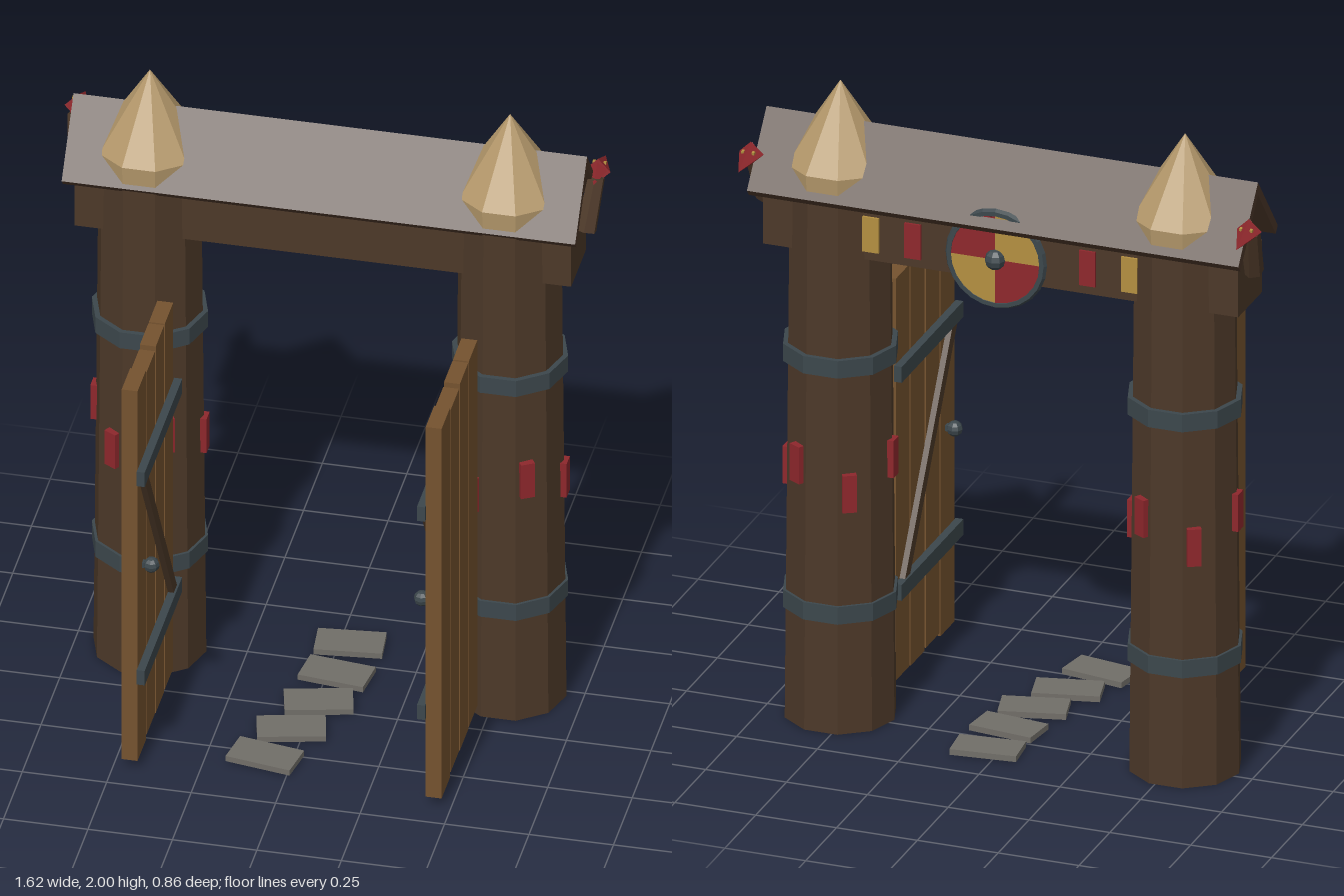
import * as THREE from 'three';

const mat = (name, color) => {
  const m = new THREE.MeshStandardMaterial({ color, flatShading: true });
  m.name = name;
  return m;
};

export function createModel() {
  const root = new THREE.Group();
  root.name = 'gate';
  const darkWood = mat('dark wood', 0x4c3828);
  const roofWood = mat('roof wood', 0x4a3527);
  const plankWood = mat('plank wood', 0x75532f);
  const paleWood = mat('pale cut wood', 0xb3976a);
  const iron = mat('iron', 0x3c474c);
  const red = mat('red paint', 0x8e272c);
  const gold = mat('gold paint', 0xb48f40);
  const stone = mat('stone', 0x716e68);

  const add = (parent, name, geo, material, x = 0, y = 0, z = 0) => {
    const m = new THREE.Mesh(geo, material);
    m.name = name;
    m.position.set(x, y, z);
    parent.add(m);
    return m;
  };
  const box = (w, h, d) => new THREE.BoxGeometry(w, h, d);
  const postZ = -0.226;

  // Posts with pointed tops, iron bands and painted plates
  for (const side of [-1, 1]) {
    const post = new THREE.Group();
    post.name = side > 0 ? 'leftPost' : 'rightPost';
    post.position.set(side * 0.533, 0, postZ);
    root.add(post);
    const ring = (top, bottom, h) => new THREE.CylinderGeometry(top, bottom, h, 10).rotateY(Math.PI / 2);
    add(post, 'trunk', ring(0.152, 0.167, 1.68), darkWood, 0, 0.84);
    add(post, 'tipCollar', ring(0.16, 0.153, 0.08), paleWood, 0, 1.71);
    add(post, 'pointedTip', ring(0, 0.16, 0.25), paleWood, 0, 1.875);
    for (const y of [0.378, 1.157]) add(post, 'ironBand', ring(0.172, 0.172, 0.055), iron, 0, y);
    for (let i = 0; i < 6; i++) {
      const a = i * Math.PI / 3;
      const plate = add(post, 'paintedPlate', box(0.024, 0.117, 0.042), red,
        Math.cos(a) * 0.16, i % 2 ? 0.832 : 0.762, Math.sin(a) * 0.16);
      plate.rotation.y = -a;
    }
  }

  // Cross beam with painted plates on its back
  add(root, 'crossBeam', box(1.47, 0.165, 0.195), darkWood, 0, 1.573, -0.228);
  for (const s of [-1, 1]) {
    add(root, 'goldPlate', box(0.05, 0.11, 0.008), gold, s * 0.4, 1.573, -0.329);
    add(root, 'redPlate', box(0.05, 0.11, 0.008), red, s * 0.27, 1.573, -0.329);
  }

  // Gabled roof along the beam
  const gable = new THREE.Shape([
    [0, 1.882], [-0.16, 1.68], [-0.143, 1.66], [0, 1.842], [0.143, 1.66], [0.16, 1.68],
  ].map(([x, y]) => new THREE.Vector2(x, y)));
  const roof = new THREE.ExtrudeGeometry(gable, { depth: 1.52, bevelEnabled: false });
  roof.translate(0, 0, -0.76).rotateY(Math.PI / 2);
  add(root, 'roof', roof, roofWood, 0, 0, -0.23);

  // Carved beast heads on the roof ends
  for (const s of [-1, 1]) {
    const from = new THREE.Vector3(s * 0.752, 1.61, -0.25);
    const to = new THREE.Vector3(s * 0.77, 1.76, -0.31);
    const dir = to.clone().sub(from);
    const neck = add(root, 'neck', new THREE.CylinderGeometry(0.026, 0.032, dir.length(), 6), darkWood);
    neck.position.copy(from).lerp(to, 0.5);
    neck.quaternion.setFromUnitVectors(new THREE.Vector3(0, 1, 0), dir.normalize());
    const head = new THREE.Group();
    head.name = 'beastHead';
    head.position.set(s * 0.77, 1.772, -0.325);
    head.rotation.x = -0.16;
    root.add(head);
    add(head, 'snout', new THREE.ConeGeometry(0.038, 0.11, 4).rotateX(-Math.PI / 2), red, 0, 0, -0.055);
    const back = add(head, 'crest', new THREE.ConeGeometry(0.03, 0.06, 4).rotateX(Math.PI / 2), red, 0, -0.01, 0.022);
    back.rotation.x = 0.5;
    for (const e of [-1, 1]) add(head, 'eye', box(0.008, 0.008, 0.01), gold, e * 0.016, 0.016, -0.025);
  }

  // Round shield hung on the back of the beam
  const shield = new THREE.Group();
  shield.name = 'shield';
  shield.position.set(0, 1.575, -0.36);
  root.add(shield);
  for (let i = 0; i < 4; i++) {
    const quarter = new THREE.CylinderGeometry(0.146, 0.146, 0.02, 6, 1, false, i * Math.PI / 2, Math.PI / 2);
    add(shield, 'quarter', quarter.rotateX(-Math.PI / 2), i % 2 ? gold : red);
  }
  add(shield, 'rim', new THREE.TorusGeometry(0.144, 0.013, 6, 24), iron);
  add(shield, 'boss', new THREE.SphereGeometry(0.032, 8, 6), iron, 0, 0, -0.008);

  // Open door leaves: planks outside, straps, brace and knob inside
  const planks = [[0, 0.043, 1.315], [0.12, 0.04, 1.315], [0.243, 0.045, 1.305], [0.363, 0.032, 1.318]];
  for (const s of [-1, 1]) {
    const door = new THREE.Group();
    door.name = s > 0 ? 'leftDoor' : 'rightDoor';
    root.add(door);
    for (const [z, y0, y1] of planks) {
      add(door, 'plank', box(0.047, y1 - y0, 0.113), plankWood, s * 0.45, (y0 + y1) / 2, z);
    }
    for (const y of [0.33, 1.02]) add(door, 'strap', box(0.024, 0.05, 0.5), iron, s * 0.415, y, 0.18);
    const brace = add(door, 'brace', box(0.018, 0.78, 0.036), darkWood, s * 0.418, 0.675, 0.187);
    brace.rotation.x = Math.atan2(0.41, 0.68);
    add(door, 'knobStem', box(0.04, 0.018, 0.018), iron, s * 0.41, 0.675, 0.352);
    add(door, 'knob', new THREE.SphereGeometry(0.024, 8, 6), iron, s * 0.4, 0.675, 0.352);
  }

  // Stepping stones through the gateway: x, z, turn
  const steps = [[-0.08, 0.283, -0.17], [-0.036, 0.128, 0.23], [0.011, -0.025, 0.24],
    [0.03, -0.18, -0.12], [0.034, -0.34, 0.1]];
  for (const [x, z, turn] of steps) {
    add(root, 'steppingStone', box(0.2, 0.018, 0.112), stone, x, 0.011, z).rotation.y = turn;
  }
  return root;
}
